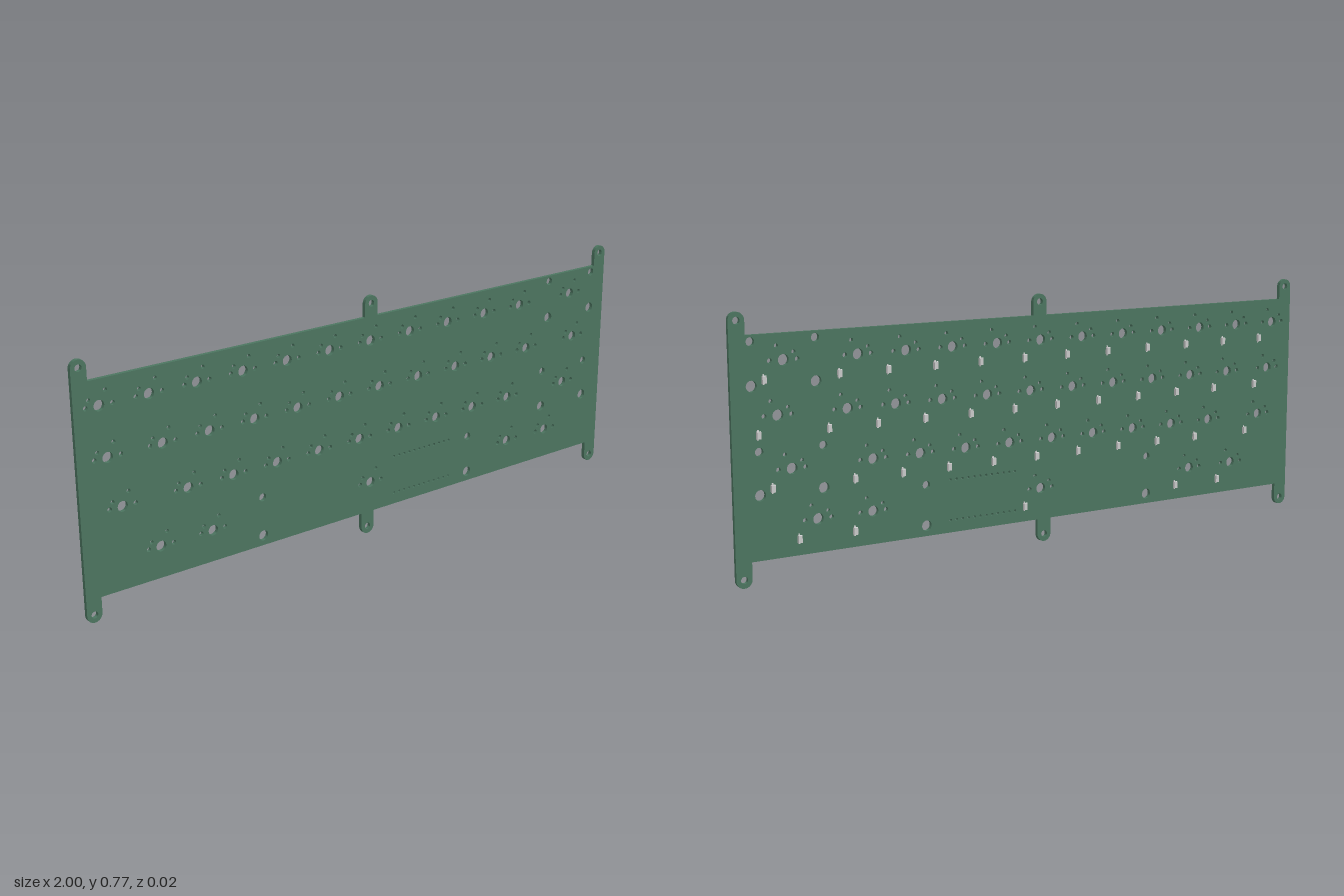
import * as THREE from 'three';
import { toCreasedNormals } from 'three/addons/utils/BufferGeometryUtils.js';

const U = 0.1537;            // key pitch
const MM = U / 19.05;        // one millimetre in model units
const BACK = -0.0005, THICK = 0.0123;
const BOTTOM = 0.072, TOP = 0.706, HEIGHT = 0.771;
const TAB_R = 0.0238;

const run = (start, count) => Array.from({ length: count }, (_, i) => start + i * U);

// Switch centres, row by row
const rows = [
  { y: 0.631, xs: [...run(-6 * U, 11), 5.48 * U] },
  { y: 0.478, xs: [-0.906, ...run(-0.733, 10), 0.863] },
  { y: 0.324, xs: [-0.869, ...run(-0.657, 9), 0.825] },
  { y: 0.170, xs: [-0.754, -0.58, 0, 0.576, 0.749] },
];

// Stabiliser pairs for the wide keys: centre and half spacing
const stabilisers = [
  { x: 0.842, y: 0.631, half: 0.0963 },
  { x: 0.825, y: 0.324, half: 0.0963 },
  { x: -0.002, y: 0.170, half: 0.403 },
];

// Rectangular board with rounded mounting tabs above and below
function boardOutline() {
  const s = new THREE.Shape();
  const edge = 1 - TAB_R;
  s.moveTo(-1, TAB_R);
  s.absarc(-edge, TAB_R, TAB_R, Math.PI, 2 * Math.PI);
  s.lineTo(-edge + TAB_R, BOTTOM);
  s.lineTo(-0.012 - TAB_R, BOTTOM);
  s.absarc(-0.012, TAB_R, TAB_R, Math.PI, 2 * Math.PI);
  s.lineTo(-0.012 + TAB_R, BOTTOM);
  s.lineTo(edge - TAB_R, BOTTOM);
  s.absarc(edge, TAB_R, TAB_R, Math.PI, 2 * Math.PI);
  s.lineTo(1, HEIGHT - TAB_R);
  s.absarc(edge, HEIGHT - TAB_R, TAB_R, 0, Math.PI);
  s.lineTo(edge - TAB_R, TOP);
  s.lineTo(0.003 + TAB_R, TOP);
  s.absarc(0.003, HEIGHT - TAB_R, TAB_R, 0, Math.PI);
  s.lineTo(0.003 - TAB_R, TOP);
  s.lineTo(-edge + TAB_R, TOP);
  s.absarc(-edge, HEIGHT - TAB_R, TAB_R, 0, Math.PI);
  s.closePath();
  return s;
}

function createBoard() {
  const shape = boardOutline();
  const hole = (x, y, r) => {
    const p = new THREE.Path();
    p.absarc(x, y, r, 0, Math.PI * 2, true);
    shape.holes.push(p);
  };

  // Screw holes in the tabs
  const edge = 1 - TAB_R;
  for (const x of [-edge, 0.003, edge]) hole(x, HEIGHT - TAB_R, 0.0105);
  for (const x of [-edge, -0.012, edge]) hole(x, TAB_R, 0.0105);

  // Switch holes: centre post, two guide pegs, two contact pins
  for (const { y, xs } of rows) {
    for (const x of xs) {
      hole(x, y, 2 * MM);
      hole(x - 5.08 * MM, y, 0.87 * MM);
      hole(x + 5.08 * MM, y, 0.87 * MM);
      hole(x - 3.81 * MM, y + 2.54 * MM, 0.75 * MM);
      hole(x + 2.54 * MM, y + 5.08 * MM, 0.75 * MM);
    }
  }

  // Stabiliser holes: small above, large below
  for (const { x, y, half } of stabilisers) {
    for (const side of [-1, 1]) {
      hole(x + side * half, y + 7 * MM, 1.53 * MM);
      hole(x + side * half, y - 8.24 * MM, 2 * MM);
    }
  }

  // Two rows of controller pin holes
  for (let i = 0; i < 12; i++) {
    for (const y of [0.233, 0.109]) hole(0.094 + i * 2.54 * MM, y, 0.55 * MM);
  }

  const geo = new THREE.ExtrudeGeometry(shape, { depth: THICK, bevelEnabled: false, curveSegments: 10 });
  geo.translate(0, 0, BACK);
  const mesh = new THREE.Mesh(toCreasedNormals(geo, 0.7), new THREE.MeshStandardMaterial({ color: 0x4c7560 }));
  mesh.name = 'circuitBoard';
  return mesh;
}

// Box whose end faces in z are narrower than its middle
function diodeBodyGeometry(w, h, d) {
  const geo = new THREE.BoxGeometry(w, h, d, 1, 1, 2);
  const p = geo.attributes.position;
  for (let i = 0; i < p.count; i++) {
    if (Math.abs(p.getZ(i)) > d * 0.4) {
      p.setX(i, p.getX(i) * 0.88);
      p.setY(i, p.getY(i) * 0.9);
    }
  }
  const flat = geo.toNonIndexed();
  flat.computeVertexNormals();
  return flat;
}

// Surface mounted diodes on the back, one beside each switch
function createDiodes() {
  const group = new THREE.Group();
  group.name = 'diodes';
  const grey = new THREE.MeshStandardMaterial({ color: 0xcccccc });
  const bodyGeo = diodeBodyGeometry(0.0135, 0.023, 0.0095);
  const leadGeo = new THREE.BoxGeometry(0.005, 0.005, 0.0015);
  for (const { y, xs } of rows) {
    for (const x of xs) {
      const diode = new THREE.Group();
      diode.name = 'diode';
      diode.position.set(x + 0.0605, y - 0.05, BACK);
      const body = new THREE.Mesh(bodyGeo, grey);
      body.name = 'diodeBody';
      body.position.z = -0.0057;
      diode.add(body);
      for (const side of [-1, 1]) {
        const lead = new THREE.Mesh(leadGeo, grey);
        lead.name = 'diodeLead';
        lead.position.set(0, side * 0.0125, -0.0008);
        diode.add(lead);
      }
      group.add(diode);
    }
  }
  return group;
}

export function createModel() {
  const model = new THREE.Group();
  model.name = 'keyboardCircuitBoard';
  model.add(createBoard(), createDiodes());
  return model;
}
